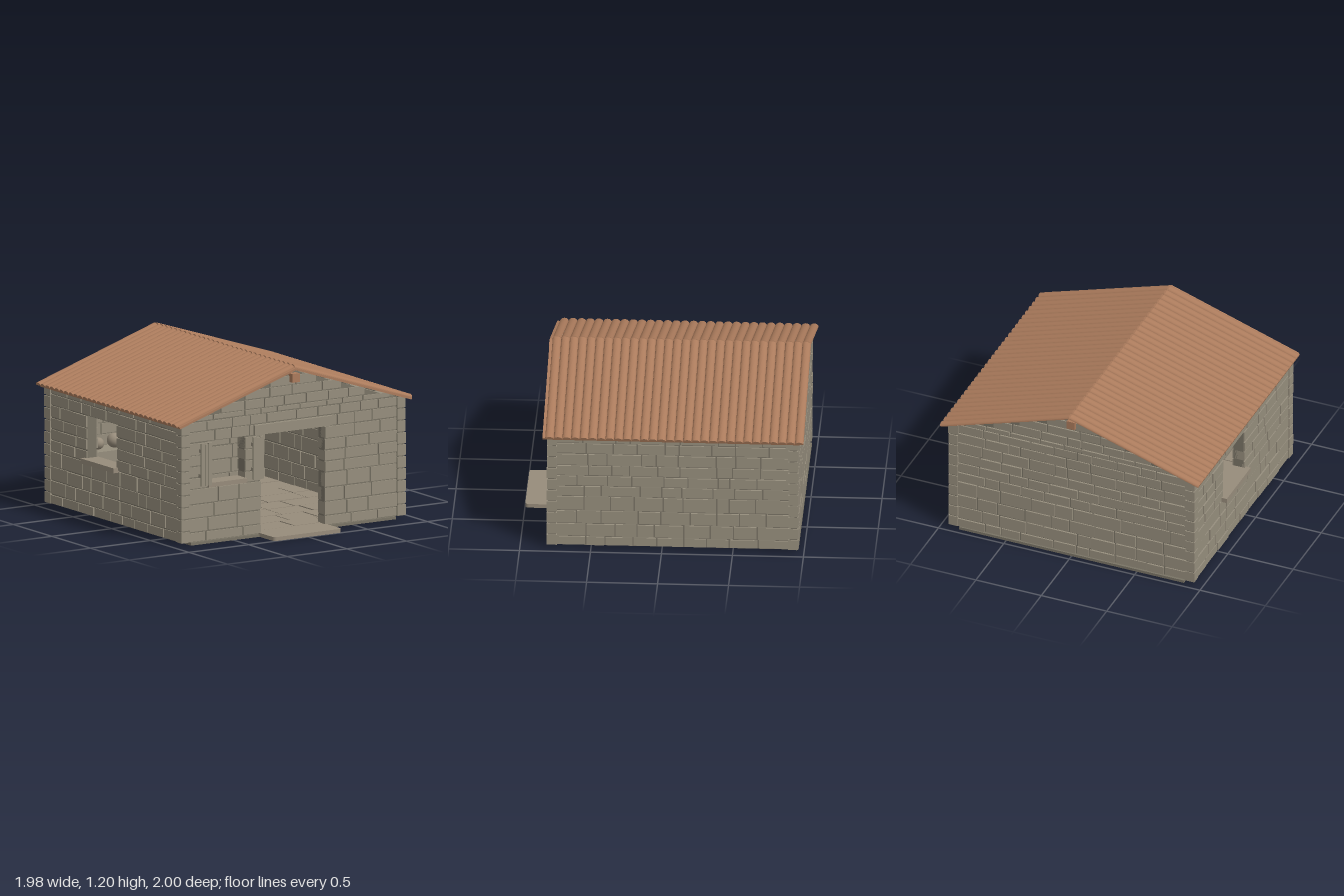
import * as THREE from 'three';
import { mergeGeometries } from 'three/addons/utils/BufferGeometryUtils.js';

const mat = (name, color) => {
  const m = new THREE.MeshStandardMaterial({ color });
  m.name = name;
  return m;
};

export function createModel() {
  const house = new THREE.Group();
  house.name = 'stoneCottage';
  const stone = mat('wall stone', 0x968e7d);
  const mortar = mat('mortar', 0x7a7466);
  const slabStone = mat('floor stone', 0x978c7b);
  const wood = mat('furniture wood', 0x9a6a4a);
  const tile = mat('roof tile', 0xab7b5c);

  let seed = 7;
  const rand = () => (seed = (seed * 16807) % 2147483647) / 2147483647;

  const add = (geo, material, name, parent = house) => {
    const m = new THREE.Mesh(geo, material);
    m.name = name;
    parent.add(m);
    return m;
  };
  // box given by its low and high corners
  const span = (x0, x1, y0, y1, z0, z1) =>
    new THREE.BoxGeometry(x1 - x0, y1 - y0, z1 - z0)
      .translate((x0 + x1) / 2, (y0 + y1) / 2, (z0 + z1) / 2);

  // ---- walls: rows of through-stones around a mortar core ----
  const ROWS = [0.02, 0.09, 0.19, 0.29, 0.4, 0.48, 0.56, 0.64, 0.73, 0.81, 0.88];
  const T = 0.09;

  // pieces of [-h, h] left over beside the openings of a row
  function segments(h, y0, y1, openings) {
    let segs = [[-h, h]];
    for (const [a, b, lo, hi] of openings) {
      if (y1 <= lo + 0.005 || y0 >= hi - 0.005) continue;
      segs = segs.flatMap(([s, e]) => [[s, Math.min(e, a)], [Math.max(s, b), e]])
        .filter(([s, e]) => e - s > 0.01);
    }
    return segs;
  }

  function layRow(stones, s, e, y0, y1) {
    const n = Math.max(1, Math.round((e - s) / 0.18));
    const w = (e - s) / n;
    const cuts = [s];
    for (let i = 1; i < n; i++) cuts.push(s + w * (i + (rand() - 0.5) * 0.6));
    cuts.push(e);
    for (let i = 0; i < n; i++) {
      const d = T / 2 + rand() * 0.006;
      stones.push(span(cuts[i] + (i ? 0.005 : 0), cuts[i + 1] - (i < n - 1 ? 0.005 : 0),
        y0 + 0.004 + rand() * 0.003, y1 - 0.003 - rand() * 0.003, -d, d));
    }
  }

  function wall(name, h, openings, gable) {
    const g = new THREE.Group();
    g.name = name;
    house.add(g);
    const stones = [], core = [];
    for (let i = 0; i < ROWS.length - 1; i++) {
      const y0 = ROWS[i], y1 = ROWS[i + 1];
      for (const [s, e] of segments(h, y0, y1, openings)) {
        layRow(stones, s, e, y0, y1);
        core.push(span(s, e, y0, y1, -T / 2 + 0.008, T / 2 - 0.008));
      }
    }
    if (gable) {
      // stepped courses under the roof slope, with a triangular core
      [[0.88, 0.92, 0.81], [0.92, 0.99, 0.6], [0.99, 1.06, 0.4], [1.06, 1.13, 0.19]]
        .forEach(([a, b, w]) => layRow(stones, -w, w, a, b));
      const tri = new THREE.Shape([new THREE.Vector2(-0.84, 0.88), new THREE.Vector2(0.84, 0.88),
        new THREE.Vector2(0, 1.165)]);
      add(new THREE.ExtrudeGeometry(tri, { depth: T - 0.016, bevelEnabled: false })
        .translate(0, 0, -T / 2 + 0.008), mortar, 'gableCore', g);
    }
    add(mergeGeometries(stones), stone, 'stones', g);
    add(mergeGeometries(core), mortar, 'mortarCore', g);
    return g;
  }

  wall('frontWall', 0.87, [[-0.27, 0.27, 0, 0.73], [-0.71, -0.4, 0.4, 0.73]], true).position.z = 0.755;
  wall('backWall', 0.87, [], true).position.z = -0.905;
  for (const [name, x, holes] of [['leftWall', 0.885, []],
    ['rightWall', -0.885, [[-0.035, 0.355, 0.4, 0.73]]]]) {
    const g = wall(name, 0.815, holes, false);
    g.rotation.y = Math.PI / 2;
    g.position.set(x, 0, -0.075);
  }

  // corner columns of stacked blocks
  const quoins = [], joints = [];
  for (const sx of [-1, 1]) for (const cz of [0.775, -0.925]) {
    const cx = sx * 0.905;
    joints.push(span(cx - 0.028, cx + 0.028, 0.02, 0.88, cz - 0.028, cz + 0.028));
    for (let i = 0; i < 10; i++) {
      const y = 0.02 + i * 0.086, r = 0.034 + rand() * 0.003;
      quoins.push(span(cx - r, cx + r, y + 0.004, y + 0.08, cz - r, cz + r));
    }
  }
  add(mergeGeometries(quoins), stone, 'cornerBlocks');
  add(mergeGeometries(joints), mortar, 'cornerJoints');

  // lintel, sills and shutters
  add(span(-0.33, 0.32, 0.735, 0.805, 0.7, 0.822), stone, 'doorLintel');
  add(span(-0.72, -0.4, 0.405, 0.437, 0.7, 0.83), slabStone, 'frontSill');
  add(span(-0.97, -0.83, 0.39, 0.425, -0.45, -0.02), slabStone, 'sideSill');
  for (const x of [-0.755, -0.32]) {
    for (let i = -1; i <= 1; i++)
      add(span(x + i * 0.03 - 0.0135, x + i * 0.03 + 0.0135, 0.425, 0.73 - (i === 0 ? 0.006 : 0), 0.838, 0.854),
        stone, 'shutterBoard');
    for (const y of [0.48, 0.66])
      add(span(x - 0.035, x + 0.035, y, y + 0.025, 0.79, 0.84), stone, 'shutterBatten');
  }

  // ---- base, doorstep and paving ----
  add(span(-0.86, 0.86, 0, 0.02, -0.96, 0.81), mortar, 'base');
  const step = new THREE.Shape();
  step.moveTo(-0.285, -0.7);
  step.lineTo(-0.285, -0.97);
  step.quadraticCurveTo(-0.285, -0.998, -0.255, -0.998);
  step.lineTo(0.255, -0.998);
  step.quadraticCurveTo(0.285, -0.998, 0.285, -0.97);
  step.lineTo(0.285, -0.7);
  add(new THREE.ExtrudeGeometry(step, { depth: 0.028, bevelEnabled: false })
    .rotateX(-Math.PI / 2), slabStone, 'doorstep');
  const paving = [];
  for (let r = 0; r < 8; r++) {
    const z = -0.86 + r * 0.2;
    let x = -0.84;
    while (x < 0.84) {
      let e = x + 0.22 + rand() * 0.16;
      if (e > 0.72) e = 0.84;
      paving.push(span(x + 0.005, e - 0.005, 0.015, 0.027 + rand() * 0.004, z + 0.005, z + 0.195));
      x = e;
    }
  }
  add(mergeGeometries(paving), slabStone, 'floorSlabs');

  // ---- roof: half-round tiles running from ridge to eaves ----
  const slope = Math.atan(0.326), c = Math.cos(slope), s = Math.sin(slope);
  const pitch = 1.82 / 30;
  const arc = new THREE.Shape();
  arc.absellipse(0, 0, pitch / 2, 0.022, 0, Math.PI, false, 0);
  const tileGeo = new THREE.ExtrudeGeometry(arc, { depth: 1.036, bevelEnabled: false, curveSegments: 8 });
  for (const side of [1, -1]) {
    const half = new THREE.Group();
    half.name = side > 0 ? 'leftRoof' : 'rightRoof';
    half.applyMatrix4(new THREE.Matrix4().makeBasis(new THREE.Vector3(0, 0, -side),
      new THREE.Vector3(side * s, c, 0), new THREE.Vector3(side * c, -s, 0)).setPosition(0, 1.183, 0));
    house.add(half);
    for (let i = 0; i < 30; i++)
      add(tileGeo, tile, 'roofTile', half).position.x = -side * (0.82 - (i + 0.5) * pitch);
    const a = -side * 0.84, b = side * 0.97;
    add(span(Math.min(a, b), Math.max(a, b), -0.014, 0.001, 0, 1.025), tile, 'roofDeck', half);
  }
  add(span(-0.03, 0.03, 1.083, 1.145, -0.975, 0.845), tile, 'ridgeBeam');

  // ---- furniture ----
  function bench(name, x0, x1, z0, z1, h, t) {
    const g = new THREE.Group();
    g.name = name;
    house.add(g);
    add(span(x0, x1, h - 0.025, h, z0, z1), wood, 'top', g);
    for (const x of [x0 + 0.01, x1 - 0.01 - t]) for (const z of [z0 + 0.02, z1 - 0.02 - t])
      add(span(x, x + t, 0.02, h - 0.02, z, z + t), wood, 'leg', g);
  }
  bench('table', -0.78, -0.58, -0.54, -0.1, 0.26, 0.03);
  bench('bench', -0.51, -0.41, -0.54, -0.14, 0.15, 0.028);

  // hearth with two round pots
  add(span(-0.75, -0.36, 0.02, 0.4, -0.87, -0.66), stone, 'hearth');
  for (const [x, r] of [[-0.62, 0.043], [-0.485, 0.053]])
    add(new THREE.SphereGeometry(r, 16, 12), slabStone, 'pot').position.set(x, 0.4 + r * 0.95, -0.76);

  return house;
}
